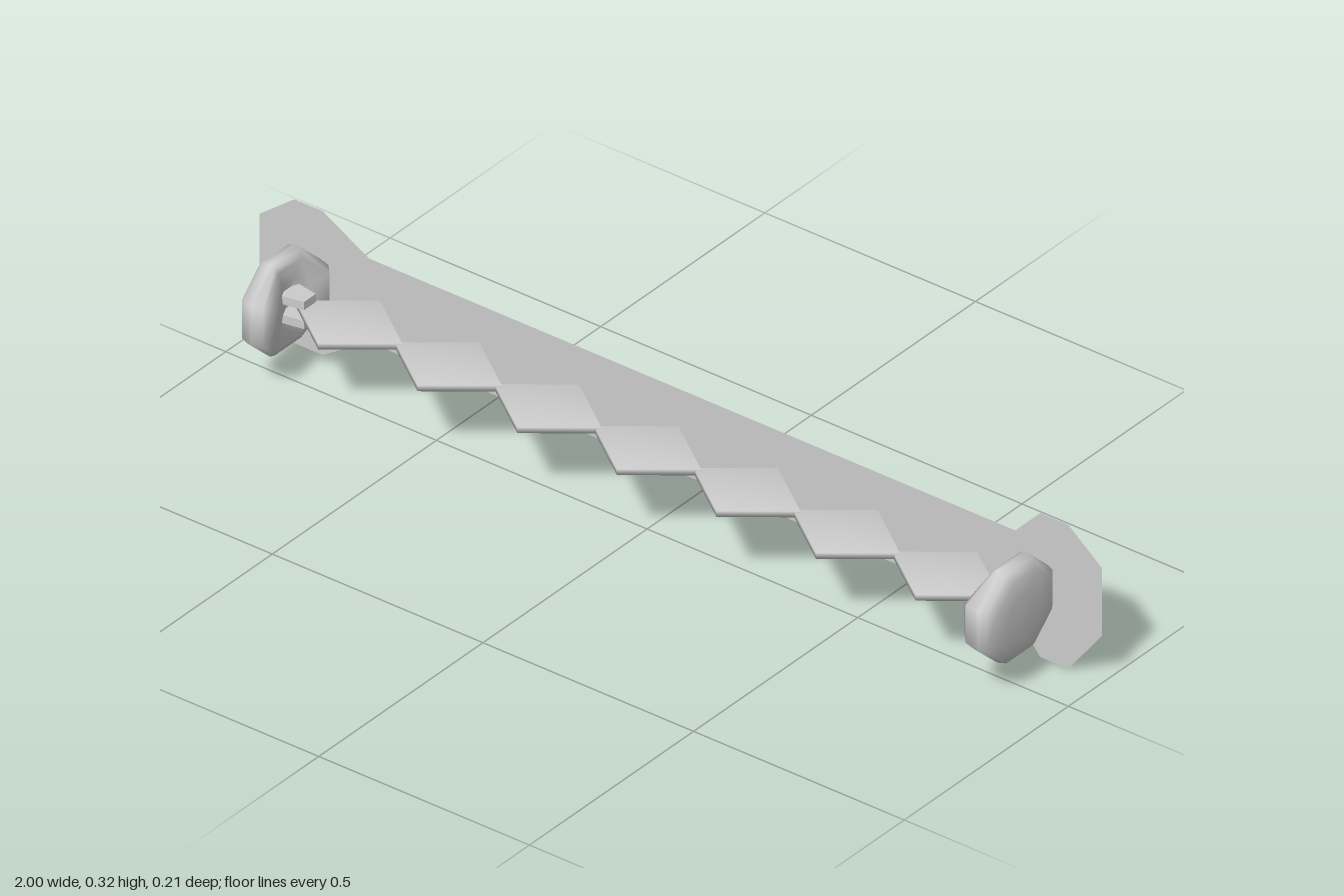
import * as THREE from 'three';
import { mergeVertices } from 'three/addons/utils/BufferGeometryUtils.js';

const MID_Y = 0.167;
const grey = new THREE.MeshStandardMaterial({ color: 0xcccccc, side: THREE.DoubleSide });

function add(parent, geometry, name) {
  const mesh = new THREE.Mesh(geometry, grey);
  mesh.name = name;
  parent.add(mesh);
  return mesh;
}

// Drops the split normals so a solid shades smoothly across its edges
function smooth(geometry) {
  geometry.deleteAttribute('normal');
  geometry.deleteAttribute('uv');
  const merged = mergeVertices(geometry, 1e-4);
  merged.computeVertexNormals();
  return merged;
}

// Octagonal end knob: rings from the outer face to a saddle-shaped inner face
function knobGeometry() {
  const octagon = [
    [0.043, 0.105], [0.102, 0.042], [0.102, -0.042], [0.043, -0.105],
    [-0.043, -0.105], [-0.102, -0.042], [-0.102, 0.042], [-0.043, 0.105],
  ];
  // [scale, x, amount of inward bend towards the front and back rims]
  const rings = [
    [0.001, 0.9, 0], [0.45, 0.899, 0], [0.8, 0.895, 0], [0.95, 0.884, 0], [1, 0.868, 0],
    [1, 0.862, 0.004], [0.95, 0.856, 0.022], [0.82, 0.853, 0.032], [0.45, 0.855, 0.02], [0.001, 0.855, 0],
  ];
  const positions = [];
  const index = [];
  rings.forEach(([s, x, bend], r) => {
    octagon.forEach(([y, z], i) => {
      positions.push(x - bend * (z / 0.105) ** 2, MID_Y + y * s, z * s);
      if (r === rings.length - 1) return;
      const a = r * 8 + i, b = r * 8 + (i + 1) % 8;
      index.push(a, a + 8, b, b, a + 8, b + 8);
    });
  });
  const geometry = new THREE.BufferGeometry();
  geometry.setAttribute('position', new THREE.Float32BufferAttribute(positions, 3));
  geometry.setIndex(index);
  geometry.computeVertexNormals();
  return geometry;
}

// Clasp prong between knob and strip, narrowing towards the strip
function prongGeometry() {
  const geometry = new THREE.BoxGeometry(0.065, 0.018, 0.06);
  const p = geometry.attributes.position;
  for (let i = 0; i < p.count; i++) if (p.getX(i) < 0) p.setZ(i, p.getZ(i) * 0.6);
  geometry.computeVertexNormals();
  return geometry;
}

export function createModel() {
  const model = new THREE.Group();
  model.name = 'bandWithKnobs';

  // Thin upright back plate with flared ends
  const plate = new THREE.Shape([
    [-1, 0.255], [-0.917, 0.32], [-0.85, 0.32], [-0.74, 0.258],
    [0.794, 0.258], [0.853, 0.32], [0.92, 0.32], [1, 0.255],
    [1, 0.105], [0.92, 0], [0.853, 0], [0.794, 0.072],
    [-0.74, 0.072], [-0.85, 0], [-0.917, 0], [-1, 0.105],
  ].map(([x, y]) => new THREE.Vector2(x, y)));
  add(model, new THREE.ShapeGeometry(plate), 'backPlate').position.z = -0.1025;

  // Row of seven overlapping flat diamonds
  const strip = new THREE.Group();
  strip.name = 'diamondStrip';
  const diamond = smooth(new THREE.CylinderGeometry(1, 1, 0.013, 4));
  diamond.scale(0.127, 1, 0.094);
  for (let i = -3; i <= 3; i++) {
    const link = add(strip, diamond, 'diamond');
    link.position.set(i * 0.2363 - 0.004, MID_Y + 0.002, -0.007);
    link.rotation.z = 0.012;
  }
  model.add(strip);

  // Knob and clasp at each end; the second end is the first turned half way round
  const knob = knobGeometry();
  const prong = prongGeometry();
  for (const [name, turn] of [['leftEnd', 0], ['rightEnd', Math.PI]]) {
    const end = new THREE.Group();
    end.name = name;
    add(end, knob, 'knob');
    for (const dy of [-0.02, 0.022]) {
      add(end, prong, 'claspProng').position.set(0.833, MID_Y + dy, 0);
    }
    end.rotation.y = turn;
    model.add(end);
  }

  return model;
}
